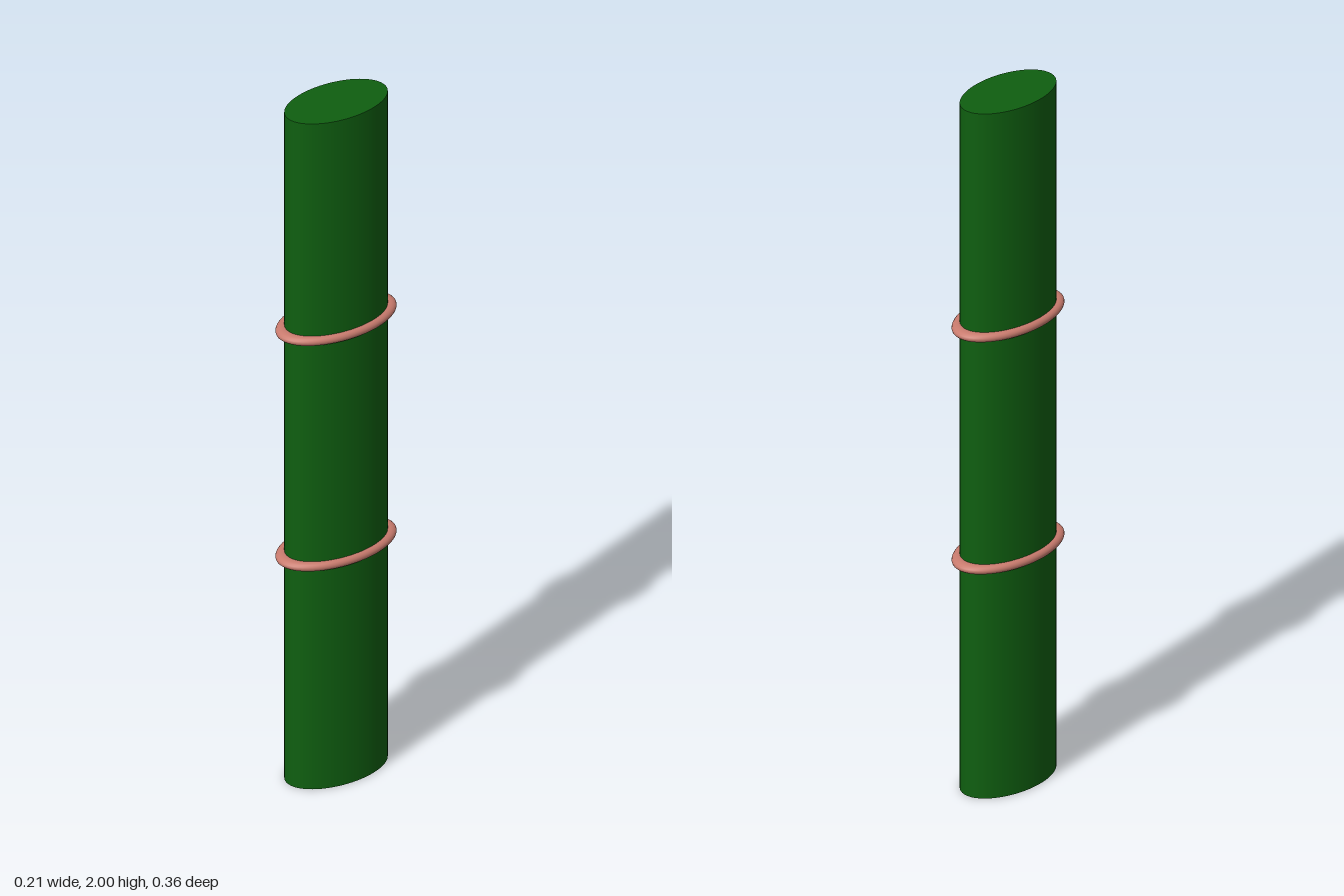
import * as THREE from 'three';

export function createModel() {
  const model = new THREE.Group();
  const green = new THREE.MeshStandardMaterial({ color: 0x0f5f10 });
  const copper = new THREE.MeshStandardMaterial({ color: 0xc97b6e });

  // Oval stalk: a cylinder stretched front to back
  const stalk = new THREE.Mesh(new THREE.CylinderGeometry(0.09, 0.09, 2, 64), green);
  stalk.name = 'stalk';
  stalk.scale.z = 1.7;
  stalk.position.y = 1;
  model.add(stalk);

  // Two oval bands at one third and two thirds of the height
  const bandGeometry = new THREE.TorusGeometry(0.0905, 0.0125, 16, 64).rotateX(Math.PI / 2);
  [['lowerBand', 0.672], ['upperBand', 1.35]].forEach(([name, y]) => {
    const band = new THREE.Mesh(bandGeometry, copper);
    band.name = name;
    band.scale.z = 1.75;
    band.position.y = y;
    model.add(band);
  });

  return model;
}
